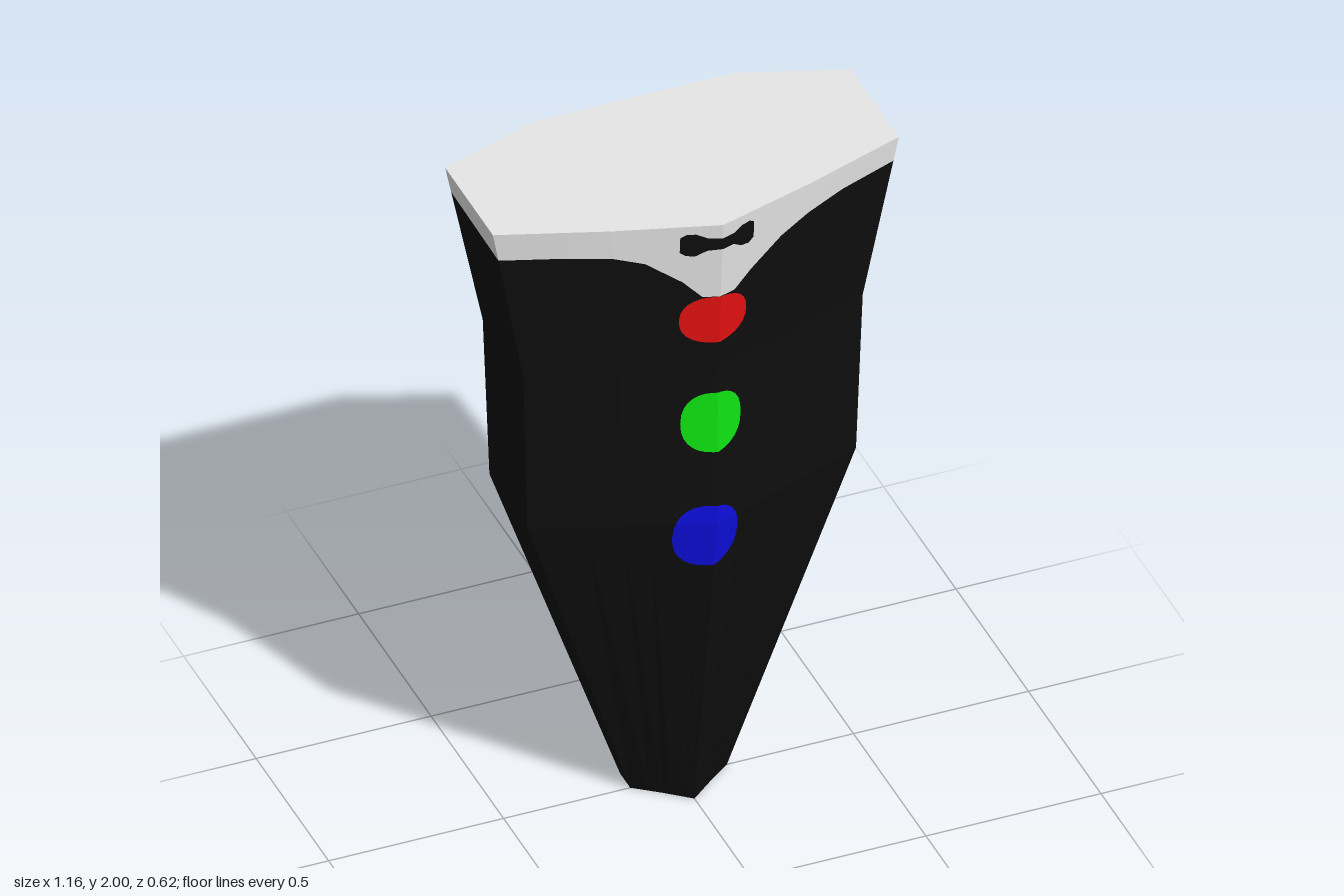
import * as THREE from 'three';

const mat = (name, color) => Object.assign(new THREE.MeshStandardMaterial({ color, flatShading: true }), { name });

// Half cross-sections [x, z]: front ridge, front mid, front corner, back corner, back mid
const SECTIONS = [
  { y: 0, half: [[0, 0.11], [0.07, 0.052], [0.138, 0], [0.138, -0.07], [0.07, -0.11]] },
  { y: 1, half: [[0, 0.265], [0.235, 0.18], [0.47, 0.09], [0.47, -0.17], [0.235, -0.26]] },
  { y: 1.5, half: [[0, 0.27], [0.243, 0.193], [0.485, 0.1], [0.485, -0.18], [0.243, -0.27]] },
  { y: 2, half: [[0, 0.31], [0.29, 0.222], [0.58, 0.12], [0.58, -0.21], [0.29, -0.314]] },
];
// Mirror each half into a closed ring of nine corners
const RINGS = SECTIONS.map(({ half }) =>
  [...half, ...half.slice(1).reverse().map(([x, z]) => [-x, z])]);

// Neckline: [position round the ring, height of the colour edge]
const NECKLINE = [
  [0, 1.755], [0.17, 1.755], [0.36, 1.8], [0.7, 1.865], [1, 1.9], [1.4, 1.92], [2, 1.925],
  [3, 1.92], [4, 1.92], [5, 1.92], [6, 1.92], [7, 1.91], [7.6, 1.91],
  [8, 1.905], [8.3, 1.88], [8.64, 1.81], [8.83, 1.755], [9, 1.755],
];

// Point on the body at ring position t and height y
function bodyPoint(t, y) {
  let k = 0;
  while (k < 2 && y > SECTIONS[k + 1].y) k++;
  const a = (y - SECTIONS[k].y) / (SECTIONS[k + 1].y - SECTIONS[k].y);
  const i = Math.floor(t), f = t - i;
  const along = (ring, c) => THREE.MathUtils.lerp(ring[i % 9][c], ring[(i + 1) % 9][c], f);
  const at = (c) => THREE.MathUtils.lerp(along(RINGS[k], c), along(RINGS[k + 1], c), a);
  return [at(0), y, at(1)];
}

function makeMesh(name, positions, material) {
  const geo = new THREE.BufferGeometry();
  geo.setAttribute('position', new THREE.Float32BufferAttribute(positions.flat(), 3));
  geo.computeVertexNormals();
  const mesh = new THREE.Mesh(geo, material);
  mesh.name = name;
  return mesh;
}

const quad = (out, a, b, c, d) => out.push(a, b, c, a, c, d);

// Wall between two heights, each given as a function of the neckline height
function addWall(out, low, high) {
  for (let i = 0; i < NECKLINE.length - 1; i++) {
    const [t0, n0] = NECKLINE[i], [t1, n1] = NECKLINE[i + 1];
    quad(out, bodyPoint(t0, low(n0)), bodyPoint(t1, low(n1)),
      bodyPoint(t1, high(n1)), bodyPoint(t0, high(n0)));
  }
}

function addCap(out, y, up) {
  for (let i = 0; i < 9; i++) {
    const a = bodyPoint(i, y), b = bodyPoint(i + 1, y);
    out.push([0, y, 0], up ? a : b, up ? b : a);
  }
}

// Point just in front of the chest, following its ridge
function chestPoint(x, y) {
  const t = Math.abs(x) / bodyPoint(1, y)[0];
  return [x, y, bodyPoint(t, y)[2] + 0.004];
}

// Thin painted patch from columns [x, bottom, top], folded at height foldY
function patch(name, columns, foldY, material) {
  const out = [];
  const cols = columns.map(([x, lo, hi]) =>
    [lo, THREE.MathUtils.clamp(foldY, lo, hi), hi].map((y) => chestPoint(x, y)));
  for (let i = 0; i < cols.length - 1; i++) {
    for (let j = 0; j < 2; j++) {
      quad(out, cols[i][j], cols[i + 1][j], cols[i + 1][j + 1], cols[i][j + 1]);
    }
  }
  return makeMesh(name, out, material);
}

// Rounded button between the given limits, with a column on the ridge
function button(name, x0, x1, y0, y1, foldY, material) {
  const cx = (x0 + x1) / 2, rx = (x1 - x0) / 2, cy = (y0 + y1) / 2, ry = (y1 - y0) / 2;
  const xs = [0];
  for (let i = 0; i <= 14; i++) xs.push(cx - rx * Math.cos((i / 14) * Math.PI));
  xs.sort((a, b) => a - b);
  const columns = xs.map((x) => {
    const u = Math.min(1, Math.abs((x - cx) / rx));
    const h = ry * Math.pow(1 - Math.pow(u, 2.3), 1 / 2.3);
    return [x, cy - h, cy + h];
  });
  return patch(name, columns, foldY, material);
}

export function createModel() {
  const black = mat('black', 0x0e0e0e);
  const white = mat('white', 0xe6e6e6);
  const red = mat('red', 0xe81010);
  const green = mat('green', 0x10e812);
  const blue = mat('blue', 0x0e0ee0);

  const model = new THREE.Group();
  model.name = 'torso';

  // Dark jacket: tapering lower body, waist and chest up to the neckline
  const jacket = [];
  addWall(jacket, () => 0, () => 1);
  addWall(jacket, () => 1, () => 1.5);
  addWall(jacket, () => 1.5, (n) => n);
  addCap(jacket, 0, false);
  model.add(makeMesh('jacket', jacket, black));

  // Pale collar and flat top
  const collar = [];
  addWall(collar, (n) => n, () => 2);
  addCap(collar, 2, true);
  model.add(makeMesh('collar', collar, white));

  // Buttons down the front ridge
  model.add(button('topButton', -0.105, 0.085, 1.6, 1.757, 1.68, red));
  model.add(button('middleButton', -0.095, 0.075, 1.235, 1.43, 1.33, green));
  model.add(button('bottomButton', -0.11, 0.07, 0.85, 1.06, 1, blue));

  // Bow tie
  model.add(patch('bowTie', [
    [-0.11, 1.915, 1.965], [-0.095, 1.903, 1.975], [-0.07, 1.9, 1.975], [-0.04, 1.917, 1.96],
    [0, 1.92, 1.957], [0.035, 1.92, 1.958], [0.06, 1.903, 1.972], [0.085, 1.9, 1.975], [0.1, 1.913, 1.965],
  ], 1.94, black));

  return model;
}
